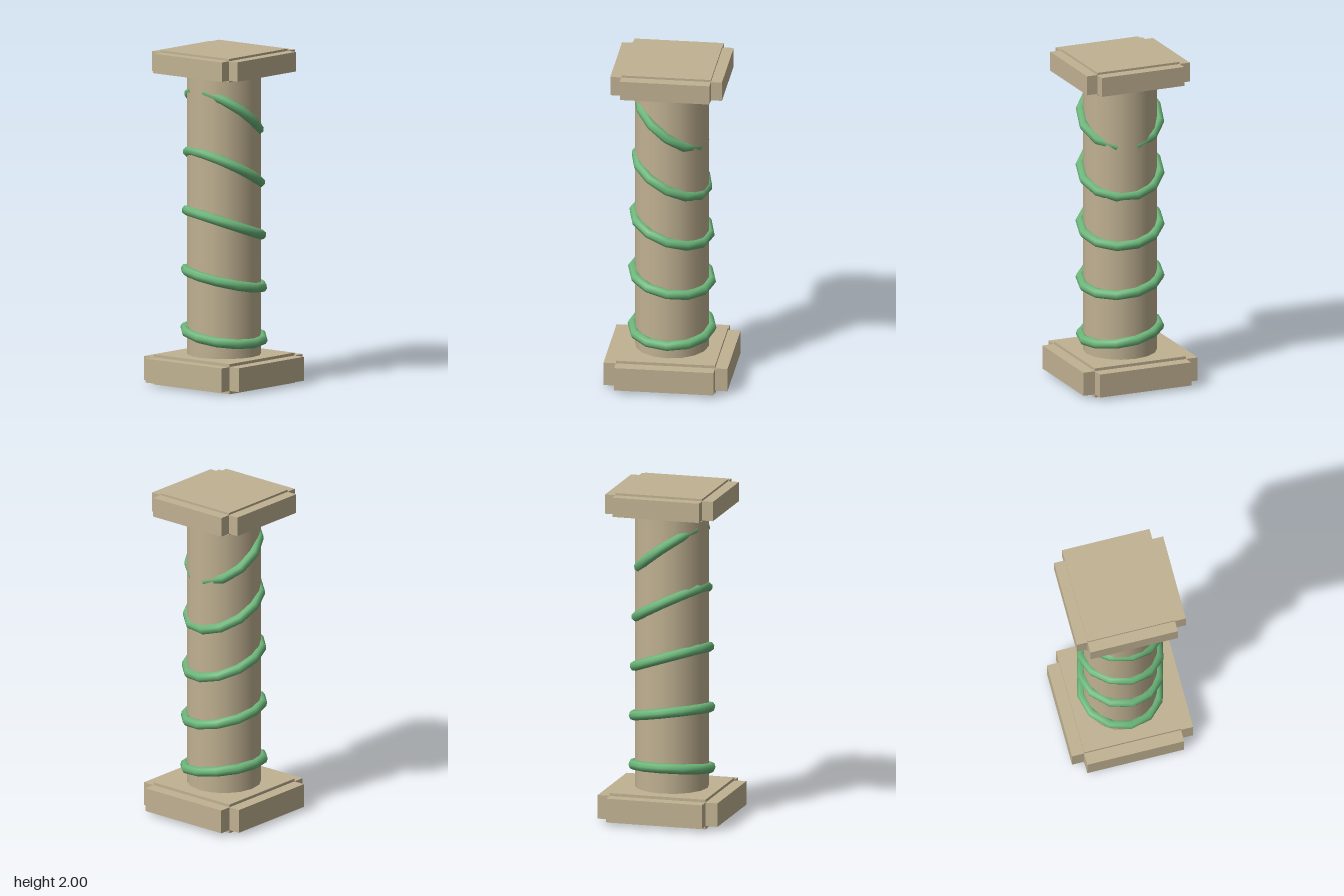
import * as THREE from 'three';

export function createModel() {
  const stone = new THREE.MeshStandardMaterial({ color: 0xc0b192 });
  stone.name = 'sandstone';
  const green = new THREE.MeshStandardMaterial({ color: 0x6cb67a });
  green.name = 'vineGreen';

  const model = new THREE.Group();
  model.name = 'vineColumn';

  const add = (parent, name, geometry, material, y) => {
    const mesh = new THREE.Mesh(geometry, material);
    mesh.name = name;
    mesh.position.y = y;
    parent.add(mesh);
    return mesh;
  };

  // Square block with a slightly lower slab standing out on each of its four sides
  const addBlock = (name, half, reach, bottom, top, slabBottom, slabTop) => {
    const block = new THREE.Group();
    block.name = name;
    const slabHeight = slabTop - slabBottom;
    const slabY = (slabTop + slabBottom) / 2;
    add(block, name + 'Core', new THREE.BoxGeometry(half * 2, top - bottom, half * 2), stone, (top + bottom) / 2);
    const depth = reach - half;
    for (let i = 0; i < 4; i++) {
      const angle = i * Math.PI / 2;
      const slab = add(block, name + 'SideSlab', new THREE.BoxGeometry(half * 2, slabHeight, depth), stone, slabY);
      slab.rotation.y = angle;
      slab.position.x = Math.sin(angle) * (half + depth / 2);
      slab.position.z = Math.cos(angle) * (half + depth / 2);
    }
    model.add(block);
  };
  addBlock('base', 0.296, 0.37, 0, 0.18, 0.02, 0.163);
  addBlock('capital', 0.267, 0.333, 1.86, 2, 1.87, 1.987);

  // Shaft
  add(model, 'shaft', new THREE.CylinderGeometry(0.22, 0.22, 1.76, 16, 1, true), stone, 1.02);

  // Vine: rings that lean over more and more towards the top
  const vine = new THREE.Group();
  vine.name = 'vine';
  const ringShape = new THREE.TorusGeometry(0.235, 0.03, 8, 12).rotateX(Math.PI / 2);
  for (let i = 0; i < 5; i++) {
    const ring = add(vine, 'vineRing', ringShape, green, 0.3 + i * 0.3325);
    ring.rotation.set(0.155, 0, -0.157 * i);
  }
  model.add(vine);

  return model;
}
